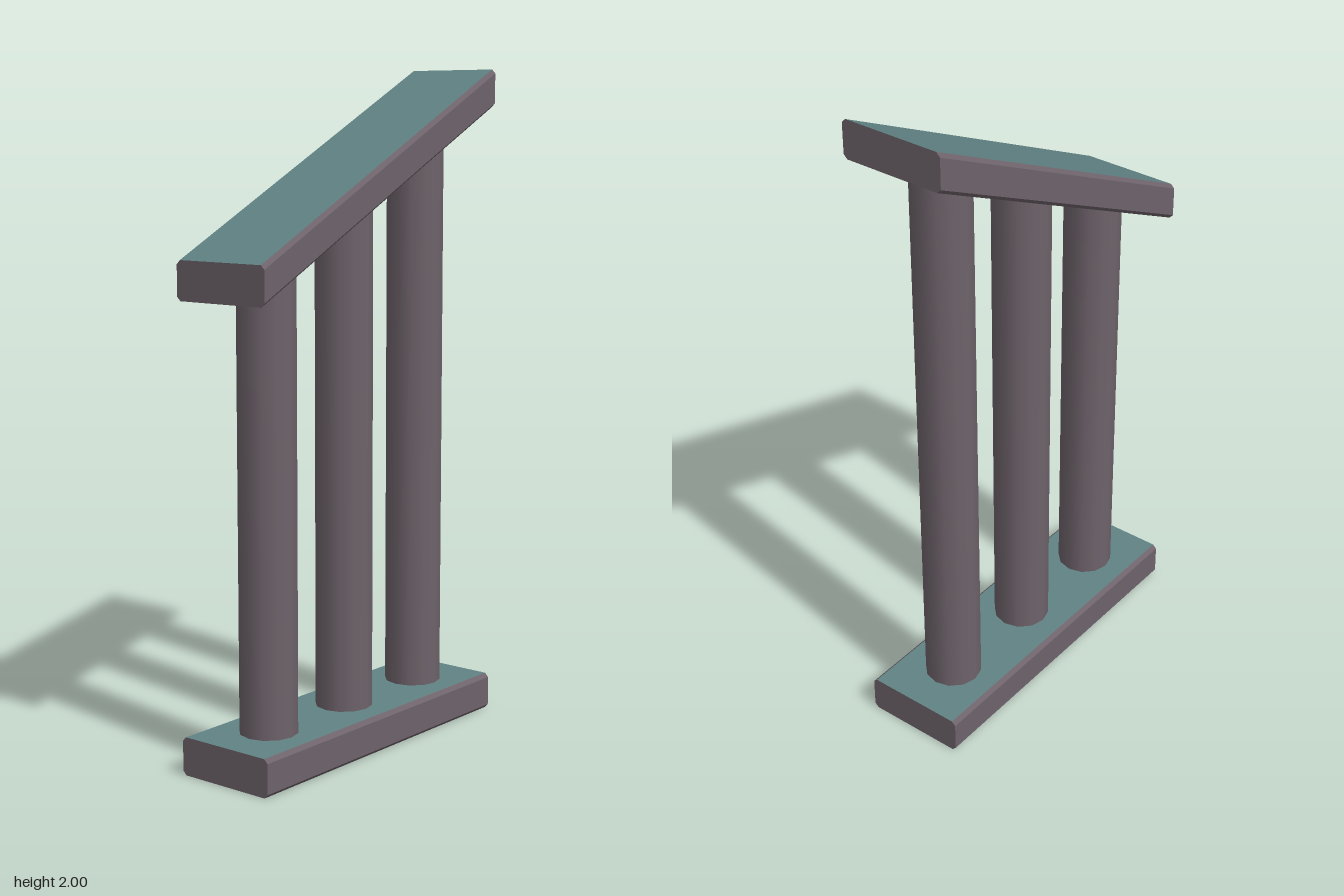
import * as THREE from 'three';

const LENGTH = 1.06, HALF_W = 0.16, THICK = 0.113, BEVEL = 0.012;
const SLOPE = -0.5;          // rise of the handrail along z
const RAIL_Y = 1.622;        // underside of the handrail at z = 0
const POST_R = 0.086;

const stone = new THREE.MeshStandardMaterial({ color: 0x6e636b });
const teal = new THREE.MeshStandardMaterial({ color: 0x618385 });

// Bar with chamfered long edges; its top face is a separate coloured panel
function makeBar(name, slope, y0) {
  const w = HALF_W, h = THICK, b = BEVEL;
  const section = new THREE.Shape([
    [-w + b, 0], [w - b, 0], [w, b], [w, h - b],
    [w - b, h], [-w + b, h], [-w, h - b], [-w, b],
  ].map(([x, y]) => new THREE.Vector2(x, y)));
  const bar = new THREE.ExtrudeGeometry(section, { depth: LENGTH, bevelEnabled: false });
  bar.translate(0, 0, -LENGTH / 2);

  // Sort triangles into top panel and body, shearing along the slope
  const p = bar.attributes.position;
  const body = [], top = [];
  for (let i = 0; i < p.count; i += 3) {
    const isTop = [0, 1, 2].every((k) => p.getY(i + k) > h - 1e-5)
      && Math.abs(p.getZ(i) - p.getZ(i + 1)) + Math.abs(p.getZ(i) - p.getZ(i + 2)) > 1e-5;
    for (let k = i; k < i + 3; k++) {
      (isTop ? top : body).push(p.getX(k), p.getY(k) + y0 + slope * p.getZ(k), p.getZ(k));
    }
  }
  const group = new THREE.Group();
  group.name = name;
  for (const [part, data, material] of [['Body', body, stone], ['TopPanel', top, teal]]) {
    const geo = new THREE.BufferGeometry();
    geo.setAttribute('position', new THREE.Float32BufferAttribute(data, 3));
    geo.computeVertexNormals();
    const mesh = new THREE.Mesh(geo, material);
    mesh.name = name + part;
    group.add(mesh);
  }
  return group;
}

// Round post whose top is cut to the slope of the handrail
function makePost(name, z) {
  const geo = new THREE.CylinderGeometry(POST_R, POST_R, 1, 12, 1, true);
  geo.translate(0, 0.5, z);
  const p = geo.attributes.position;
  for (let i = 0; i < p.count; i++) {
    p.setY(i, p.getY(i) > 0.5 ? RAIL_Y + SLOPE * p.getZ(i) : THICK);
  }
  const mesh = new THREE.Mesh(geo, stone);
  mesh.name = name;
  return mesh;
}

export function createModel() {
  const model = new THREE.Group();
  model.name = 'stairBalustrade';
  model.add(makeBar('base', 0, 0));
  model.add(makeBar('handrail', SLOPE, RAIL_Y));
  ['frontPost', 'middlePost', 'backPost'].forEach((name, i) => {
    model.add(makePost(name, 0.342 * (1 - i)));
  });
  return model;
}
